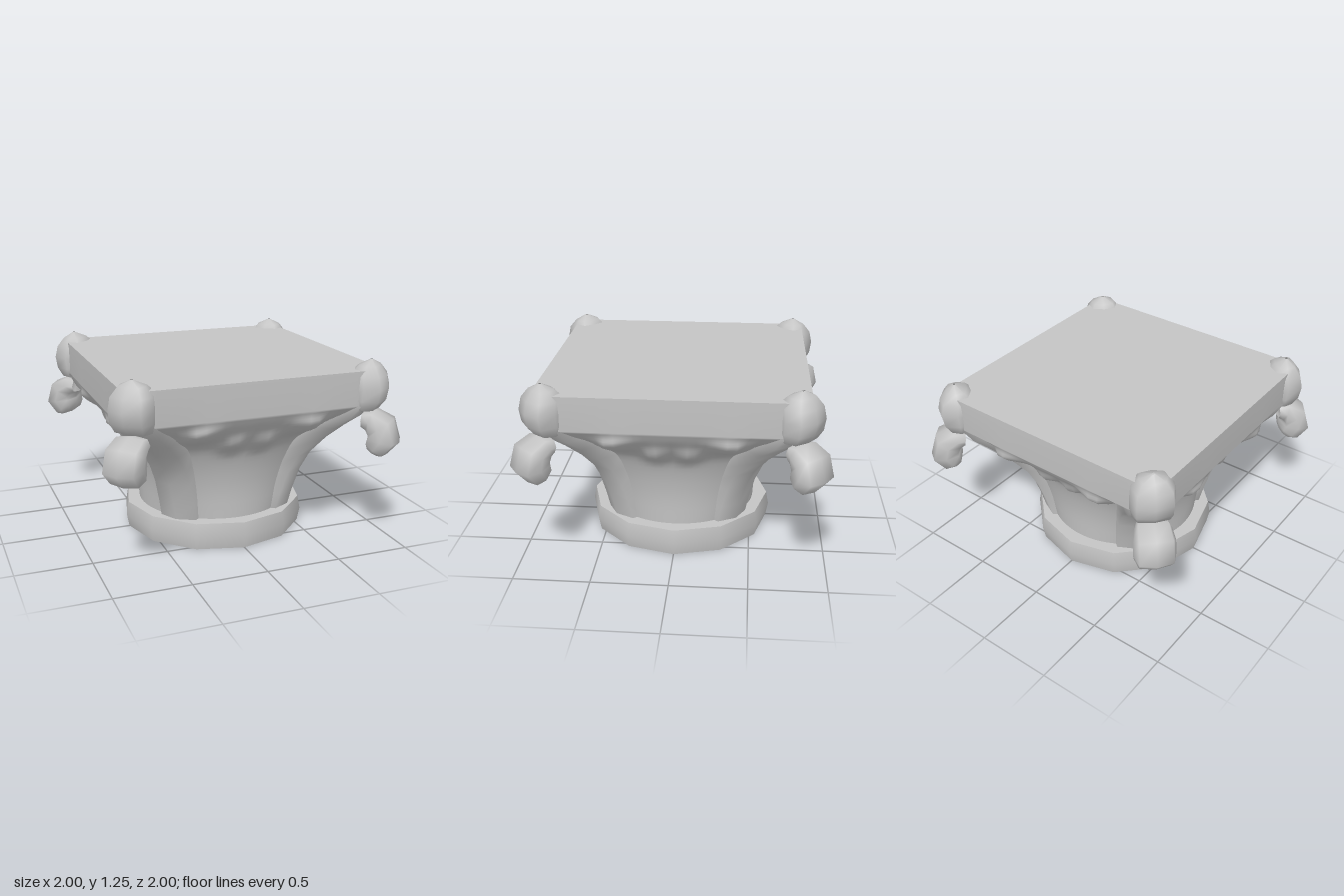
import * as THREE from 'three';
import { toCreasedNormals } from 'three/addons/utils/BufferGeometryUtils.js';

// Surface through rings of points, each ring counter-clockwise around the path
function loft(rings, closed) {
  const n = rings[0].length, index = [];
  for (let i = 0; i < rings.length - 1; i++) {
    for (let j = 0; j < (closed ? n : n - 1); j++) {
      const k = (j + 1) % n, a = i * n, b = a + n;
      index.push(a + j, a + k, b + k, a + j, b + k, b + j);
    }
  }
  const geo = new THREE.BufferGeometry();
  geo.setAttribute('position', new THREE.Float32BufferAttribute(rings.flat(2), 3));
  geo.setIndex(index);
  geo.computeVertexNormals();
  return geo;
}

// Eight points of a rounded box section, half sizes 1
function roundedSection() {
  const soft = (v) => Math.sign(v) * Math.abs(v) ** 0.65;
  return Array.from({ length: 8 }, (_, j) => {
    const f = (j / 8) * Math.PI * 2;
    return [soft(Math.cos(f)), soft(Math.sin(f))];
  });
}

// Leaf-tip bump, falling off faster below its centre
function bump(u, y, u0, y0, size, amount) {
  const dy = (y - y0) / (y < y0 ? size * 0.7 : size);
  const du = (u - u0) / size;
  return amount * Math.exp(-(du * du + dy * dy));
}

// Bell: round at the foot, flaring smoothly into the square sides of the slab
function bellGeometry() {
  const stations = [
    [0.52, 0.17, 0], [0.535, 0.4, 0.26], [0.575, 0.58, 0.4], [0.635, 0.72, 0.48],
    [0.73, 0.82, 0.6], [0.808, 0.9, 0.82], [0.855, 0.97, 1],
  ].map((p) => new THREE.Vector3(...p));
  const levels = new THREE.CatmullRomCurve3(stations).getPoints(24);
  levels.push(new THREE.Vector3(0.855, 1.195, 1));
  const rings = levels.map(({ x: R, y, z: k }) => {
    const ring = [];
    for (let j = 0; j < 96; j++) {
      const t = (j / 96) * Math.PI * 2, c = Math.cos(t), s = Math.sin(t);
      const ac = Math.abs(c), as = Math.abs(s);
      let r = Math.min(R * (1 + (1 / Math.max(ac, as) - 1) * k), 1.14);
      const u = r * Math.min(ac, as);
      const fade = THREE.MathUtils.clamp((0.97 - y) / 0.08, 0, 1);
      r += fade * (bump(u, y, 0.35, 0.84, 0.1, 0.09) + bump(u, y, 0.1, 0.75, 0.08, 0.075));
      ring.push([r * c, y, -r * s]);
    }
    return ring;
  });
  return loft(rings, true);
}

// Corner rib: radial direction is local +x; [radius, height, half width]
function ribGeometry() {
  const stations = [
    [0.575, 0.17, 0.135], [0.61, 0.3, 0.135], [0.66, 0.45, 0.135], [0.73, 0.58, 0.135],
    [0.84, 0.7, 0.135], [0.96, 0.8, 0.135], [1.07, 0.88, 0.135], [1.14, 0.97, 0.13],
  ];
  return loft(stations.map(([r, y, w]) => [
    [r - 0.2, y, w + 0.01], [r - 0.04, y, w * 0.95], [r, y, 0],
    [r - 0.04, y, -w * 0.95], [r - 0.2, y, -w - 0.01],
  ]), false);
}

// Scroll hanging from the rib: [radius, height, half thickness, half width]
function scrollGeometry() {
  const path = [
    [1.09, 0.86, 0.05, 0.1], [1.14, 0.86, 0.07, 0.115], [1.205, 0.82, 0.095, 0.128],
    [1.225, 0.74, 0.105, 0.13], [1.185, 0.68, 0.08, 0.12], [1.17, 0.655, 0.05, 0.09],
    [1.165, 0.645, 0.002, 0.004],
  ];
  const rings = path.map(([r, y, t, w], i) => {
    const a = path[Math.max(0, i - 1)], b = path[Math.min(path.length - 1, i + 1)];
    const dir = new THREE.Vector2(b[0] - a[0], b[1] - a[1]).normalize();
    return roundedSection().map(([n, s]) => [r - dir.y * n * t, y + dir.x * n * t, w * s]);
  });
  return loft(rings, true);
}

// Knob clasping the slab corner: [height, inner radius, outer radius, half width]
function knobGeometry() {
  const levels = [
    [0.925, 1.04, 1.14, 0.08], [0.94, 1.02, 1.18, 0.12], [1.0, 0.98, 1.225, 0.135],
    [1.08, 0.98, 1.24, 0.138], [1.16, 0.98, 1.22, 0.13], [1.22, 1.04, 1.175, 0.085],
    [1.255, 1.11, 1.125, 0.01],
  ];
  return loft(levels.map(([y, r0, r1, w]) => roundedSection().map(([n, s]) =>
    [(r0 + r1) / 2 + n * (r1 - r0) / 2, y, -w * s])), true);
}

// Top face of the slab, with clipped corners
function topGeometry() {
  const h = 0.855, c = 0.75;
  const outline = [[h, -c], [h, c], [c, h], [-c, h], [-h, c], [-h, -c], [-c, -h], [c, -h]];
  const shape = new THREE.Shape(outline.map((p) => new THREE.Vector2(...p)));
  return new THREE.ShapeGeometry(shape).rotateX(-Math.PI / 2).translate(0, 1.195, 0);
}

export function createModel() {
  const stone = new THREE.MeshStandardMaterial({ color: 0xc4c4c4, side: THREE.DoubleSide });
  stone.name = 'stone grey';
  const model = new THREE.Group();
  model.name = 'columnCapital';
  const add = (parent, name, geo) => {
    const mesh = new THREE.Mesh(geo, stone);
    mesh.name = name;
    parent.add(mesh);
  };

  // Twelve-sided base ring
  const profile = [[0, 0], [0.62, 0], [0.637, 0.09], [0.62, 0.18], [0, 0.18]];
  const base = new THREE.LatheGeometry(profile.map((p) => new THREE.Vector2(...p)), 12);
  add(model, 'baseRing', toCreasedNormals(base, 0.8));

  add(model, 'bellAndSlab', bellGeometry());
  add(model, 'slabTop', topGeometry());

  // Four corners, each with a rib, a hanging scroll and a knob
  const rib = ribGeometry(), scroll = scrollGeometry(), knob = knobGeometry();
  for (let i = 0; i < 4; i++) {
    const corner = new THREE.Group();
    corner.name = 'corner' + (i + 1);
    corner.rotation.y = Math.PI / 4 + (i * Math.PI) / 2;
    add(corner, 'cornerRib', rib);
    add(corner, 'cornerScroll', scroll);
    add(corner, 'cornerKnob', knob);
    model.add(corner);
  }
  return model;
}
